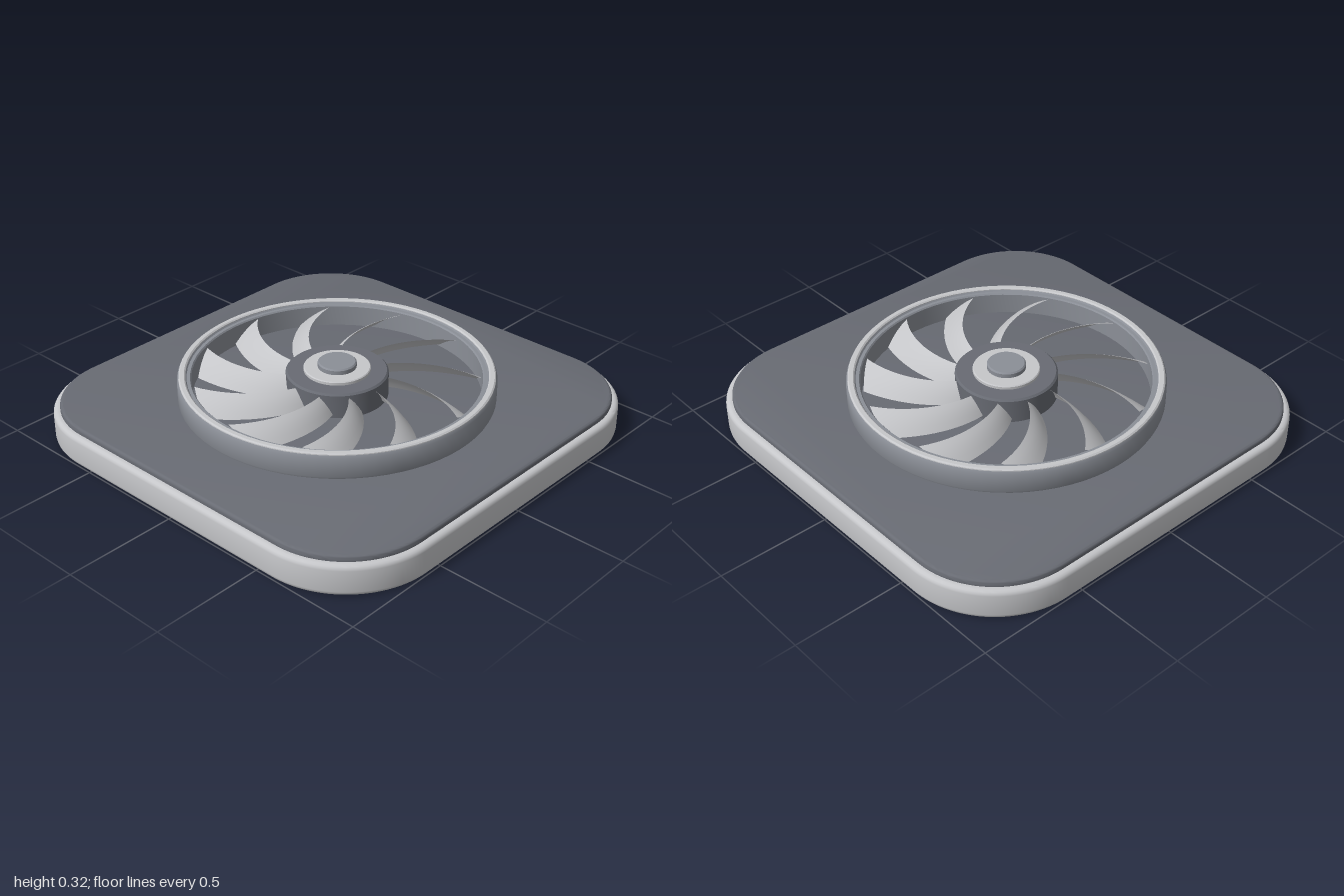
import * as THREE from 'three';
import { toCreasedNormals } from 'three/addons/utils/BufferGeometryUtils.js';

const mat = (name, color, side = THREE.FrontSide) => {
  const m = new THREE.MeshStandardMaterial({ color, side });
  m.name = name;
  return m;
};

// Rounded square slab with bevelled edges, lying flat between y0 and y1
function slab(half, radius, y0, y1, bevel) {
  const h = half - bevel, r = radius - bevel, c = h - r;
  const s = new THREE.Shape();
  s.absarc(c, c, r, 0, Math.PI / 2);
  s.absarc(-c, c, r, Math.PI / 2, Math.PI);
  s.absarc(-c, -c, r, Math.PI, Math.PI * 1.5);
  s.absarc(c, -c, r, Math.PI * 1.5, Math.PI * 2);
  s.closePath();
  const g = new THREE.ExtrudeGeometry(s, {
    depth: y1 - y0 - 2 * bevel, bevelEnabled: true, bevelSize: bevel,
    bevelThickness: bevel, bevelSegments: 4, curveSegments: 16,
  });
  g.rotateX(-Math.PI / 2).translate(0, y0 + bevel, 0);
  return toCreasedNormals(g, 0.6);
}

// Turned part from [radius, y] pairs, listed from bottom to top on the outside
function turned(points) {
  const g = new THREE.LatheGeometry(points.map(([r, y]) => new THREE.Vector2(r, y)), 72);
  return toCreasedNormals(g, 0.6);
}

// Swept blade: a spiral strip, low on one edge and high on the other
function bladeGeometry() {
  const along = 14, across = 4;
  const g = new THREE.PlaneGeometry(1, 1, across, along);
  const p = g.attributes.position;
  for (let i = 0; i < p.count; i++) {
    const u = p.getX(i) * 2, t = 0.5 - p.getY(i);
    const r = 0.2 + 0.425 * t;
    const width = 8 - 6 * t + 4.3 * t * t;
    const a = THREE.MathUtils.degToRad(-15.5 + 28.5 * t + u * width);
    const y = 0.222 + 0.04 * u + 0.008 * (1 - u * u);
    p.setXYZ(i, r * Math.sin(a), y, -r * Math.cos(a));
  }
  // Turn the faces upward
  const idx = g.index;
  const [a, b, c] = [0, 1, 2].map(k => new THREE.Vector3().fromBufferAttribute(p, idx.getX(k)));
  if (b.sub(a).cross(c.sub(a)).y < 0) {
    for (let k = 0; k < idx.count; k += 3) {
      const q = idx.getX(k + 1);
      idx.setX(k + 1, idx.getX(k + 2));
      idx.setX(k + 2, q);
    }
  }
  g.computeVertexNormals();
  return g;
}

export function createModel() {
  const light = mat('light grey', 0xc6c7ca);
  const bladeGrey = mat('blade grey', 0xc4c5c8, THREE.DoubleSide);
  const mid = mat('mid grey', 0x8b8f97);
  const dark = mat('dark grey', 0x686b73);

  const model = new THREE.Group();
  model.name = 'fanUnit';
  const add = (name, geometry, material, parent = model) => {
    const m = new THREE.Mesh(geometry, material);
    m.name = name;
    parent.add(m);
    return m;
  };

  // Housing
  add('base', slab(1, 0.42, 0, 0.14, 0.022), light);
  add('topPlate', slab(0.97, 0.39, 0.12, 0.165, 0.014), dark);

  // Shroud ring and its pale rim
  add('ring', turned([
    [0.635, 0.16], [0.69, 0.16], [0.697, 0.175], [0.697, 0.262], [0.69, 0.274],
    [0.66, 0.274], [0.655, 0.268], [0.64, 0.268], [0.635, 0.262], [0.635, 0.16],
  ]), mid);
  add('rim', turned([
    [0.66, 0.268], [0.691, 0.27], [0.69, 0.277], [0.684, 0.282], [0.666, 0.282],
    [0.66, 0.277], [0.66, 0.268],
  ]), light);

  // Blades
  const blades = new THREE.Group();
  blades.name = 'blades';
  model.add(blades);
  const blade = bladeGeometry(), count = 11;
  for (let i = 0; i < count; i++) {
    add('blade', blade, bladeGrey, blades).rotation.y = -i * 2 * Math.PI / count;
  }

  // Hub, cap and centre button
  add('hub', turned([[0, 0.16], [0.225, 0.16], [0.225, 0.272], [0.217, 0.28], [0, 0.28]]), dark);
  add('hubCap', turned([[0, 0.275], [0.147, 0.275], [0.147, 0.292], [0.143, 0.296], [0, 0.296]]), light);
  add('centreButton', turned([[0, 0.29], [0.085, 0.29], [0.085, 0.315], [0.079, 0.321], [0, 0.321]]), mid);

  return model;
}
